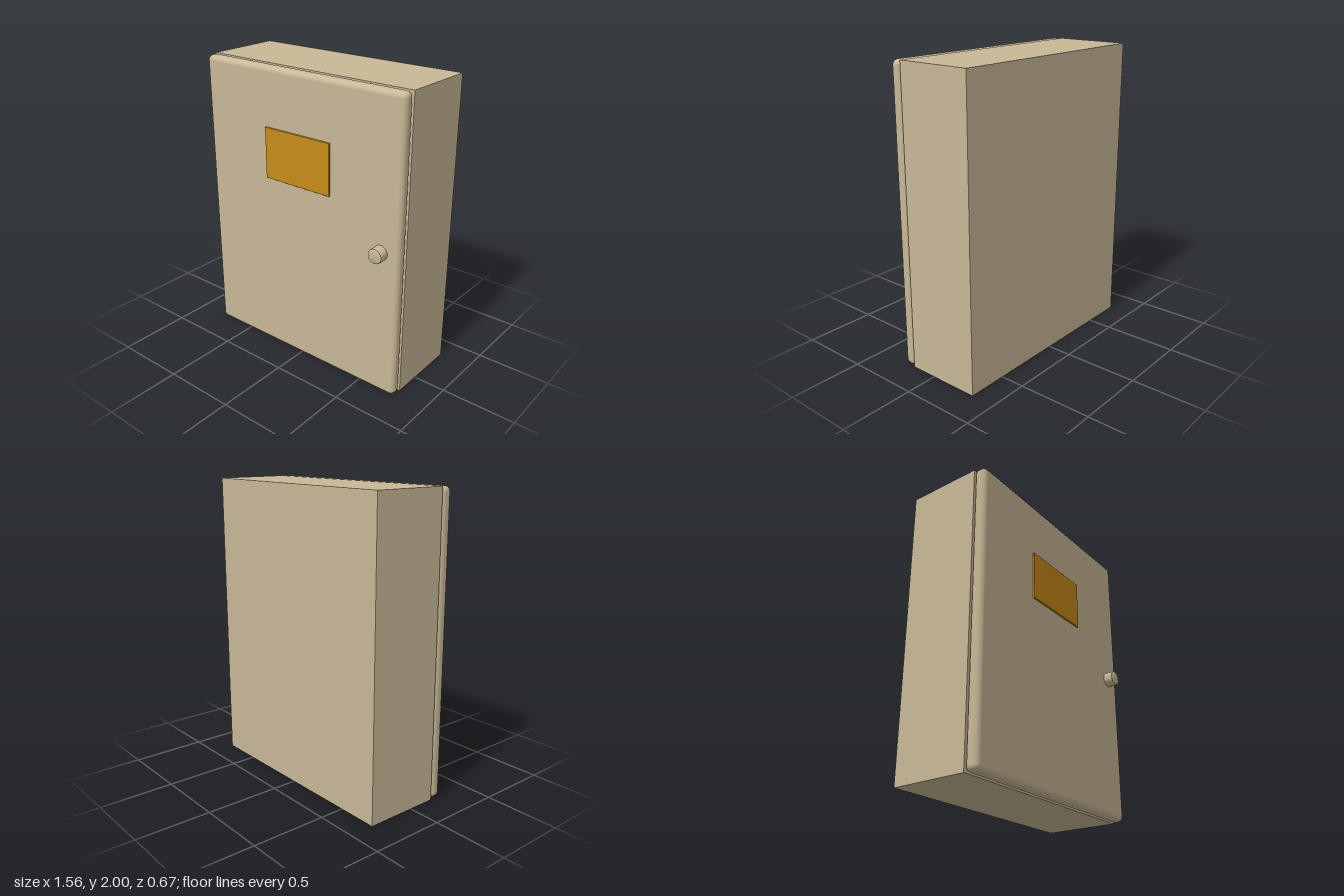
import * as THREE from 'three';
import { RoundedBoxGeometry } from 'three/addons/geometries/RoundedBoxGeometry.js';
import { toCreasedNormals } from 'three/addons/utils/BufferGeometryUtils.js';

export function createModel() {
  const group = new THREE.Group();
  const beige = new THREE.MeshStandardMaterial({ color: 0xc8b896 });
  beige.name = 'beige paint';
  const amber = new THREE.MeshStandardMaterial({ color: 0xc88c1a });
  amber.name = 'amber label';

  const add = (name, geometry, material, x, y, z) => {
    const mesh = new THREE.Mesh(geometry, material);
    mesh.name = name;
    mesh.position.set(x, y, z);
    group.add(mesh);
    return mesh;
  };

  // Sharp-edged housing
  add('housing', new THREE.BoxGeometry(1.56, 2, 0.52), beige, 0, 1, -0.075);

  // Softly rounded door across the front
  add('door', new RoundedBoxGeometry(1.56, 2, 0.086, 5, 0.036), beige, 0, 1, 0.227);

  // Thin label plate, slightly proud of the door
  add('labelPlate', new RoundedBoxGeometry(0.522, 0.345, 0.018, 2, 0.004), amber, 0, 1.438, 0.273);

  // Round knob with a small bevel at its front rim
  const profile = [[0.05, 0], [0.05, 0.067], [0.048, 0.072], [0.043, 0.074], [0, 0.074]]
    .map(([r, h]) => new THREE.Vector2(r, h));
  const knob = toCreasedNormals(new THREE.LatheGeometry(profile, 32), 0.7);
  add('knob', knob, beige, 0.65, 1.003, 0.261).rotation.x = Math.PI / 2;

  return group;
}
